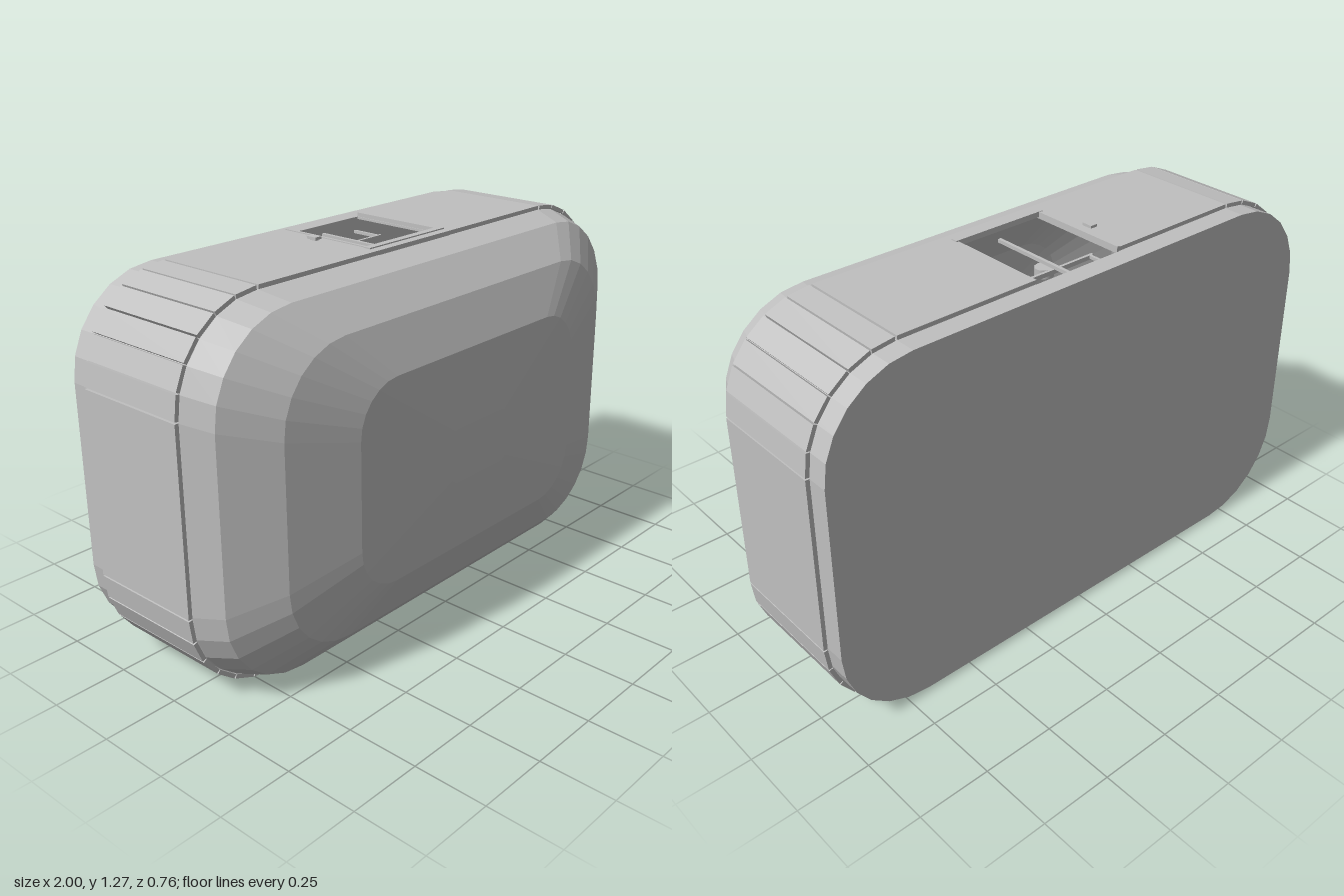
import * as THREE from 'three';

const MID = 0.63; // height of the case's centre
const casing = new THREE.MeshStandardMaterial({ color: 0xc0c0c0, side: THREE.DoubleSide });
casing.name = 'casing grey';

// Rounded rectangle, counter-clockwise, six facets per corner
function outline(hw, hh, r) {
  const pts = [];
  [[1, 1], [-1, 1], [-1, -1], [1, -1]].forEach(([sx, sy], c) => {
    for (let i = 0; i <= 6; i++) {
      const a = (c + i / 6) * Math.PI / 2;
      pts.push(new THREE.Vector2(sx * (hw - r) + r * Math.cos(a), MID + sy * (hh - r) + r * Math.sin(a)));
    }
  });
  return pts;
}

// Faceted skin through rings of equal point count, capped at the last ring
function loft(rings) {
  const pos = [], index = [], n = rings[0].pts.length;
  rings.forEach(({ pts, z }) => pts.forEach(p => pos.push(p.x, p.y, z)));
  for (let k = 0; k < rings.length - 1; k++) {
    for (let i = 0; i < n; i++) {
      const j = (i + 1) % n, a = k * n + i, b = k * n + j;
      index.push(a, b, b + n, a, b + n, a + n);
    }
  }
  const last = (rings.length - 1) * n;
  for (let i = 1; i < n - 1; i++) index.push(last, last + i, last + i + 1);
  const g = new THREE.BufferGeometry();
  g.setAttribute('position', new THREE.Float32BufferAttribute(pos, 3));
  g.setIndex(index);
  const flat = g.toNonIndexed();
  flat.computeVertexNormals();
  return flat;
}

function add(parent, name, geometry, x = 0, y = 0, z = 0) {
  const m = new THREE.Mesh(geometry, casing);
  m.name = name;
  m.position.set(x, y, z);
  parent.add(m);
  return m;
}

function box(parent, name, x0, x1, y0, y1, z0, z1) {
  return add(parent, name, new THREE.BoxGeometry(x1 - x0, y1 - y0, z1 - z0),
    (x0 + x1) / 2, (y0 + y1) / 2, (z0 + z1) / 2);
}

// Slab lying just inside the line from p to q
function slab(parent, name, p, q, z0, z1, thick, gap) {
  const d = q.clone().sub(p), len = d.length();
  d.normalize();
  const m = add(parent, name, new THREE.BoxGeometry(len - gap, thick, z1 - z0),
    (p.x + q.x) / 2 - d.y * thick / 2, (p.y + q.y) / 2 + d.x * thick / 2, (z0 + z1) / 2);
  m.rotation.z = Math.atan2(d.y, d.x);
  return m;
}

export function createModel() {
  const model = new THREE.Group();
  model.name = 'case';
  const BACK = -0.38, REAR = -0.31, FRONT = 0.10, HATCH = 0.06, HALF = 0.17;

  // Domed front cover
  const dome = [
    [0.985, 0.615, 0.31, 0.10], [0.945, 0.59, 0.30, 0.20], [0.785, 0.49, 0.25, 0.30],
    [0.54, 0.34, 0.16, 0.36], [0.14, 0.093, 0.03, 0.38],
  ].map(([w, h, r, z]) => ({ pts: outline(w, h, r), z }));
  add(model, 'frontDome', loft(dome));

  // Inner shell and outer facet panels, leaving the hatch open on top
  const shell = new THREE.Group();
  shell.name = 'shell';
  const panels = new THREE.Group();
  panels.name = 'sidePanels';
  model.add(shell, panels);
  const inner = outline(0.985, 0.615, 0.31), outer = outline(1, 0.63, 0.32);
  const n = inner.length, TOP = 6;
  for (let i = 0; i < n; i++) {
    const j = (i + 1) % n;
    if (i === TOP) continue;
    slab(shell, 'shellWall', inner[i], inner[j], BACK, FRONT, 0.008, 0);
    slab(panels, 'sidePanel', outer[i], outer[j], REAR, FRONT, 0.014, 0.006);
  }
  for (const s of [-1, 1]) {
    const a = Math.min(s * 0.675, s * HALF), b = Math.max(s * 0.675, s * HALF);
    box(shell, 'shellTop', a, b, 1.237, 1.245, REAR, FRONT);
    box(panels, 'topPanel', a, b, 1.246, 1.26, REAR, FRONT);
  }
  box(shell, 'shellTopRear', -0.675, 0.675, 1.237, 1.245, BACK, REAR);
  box(panels, 'hatchFrontPanel', -HALF, HALF, 1.237, 1.26, HATCH, FRONT);

  // Flat back
  const back = new THREE.ShapeGeometry(new THREE.Shape(inner));
  back.rotateY(Math.PI);
  add(model, 'backPlate', back, 0, 0, BACK);

  // Hatch rails, rods and latch
  const hatch = new THREE.Group();
  hatch.name = 'hatch';
  model.add(hatch);
  box(hatch, 'hatchRail', -0.18, 0.18, 1.245, 1.264, 0.045, 0.07);
  box(hatch, 'hatchEdge', -0.175, -0.165, 1.24, 1.263, REAR, HATCH);
  box(hatch, 'centreRod', -0.006, 0.006, 1.205, 1.217, REAR, 0.05);
  box(hatch, 'crossBar', -HALF, HALF, 1.185, 1.2, -0.205, -0.195);
  for (const s of [-1, 1]) {
    box(hatch, 'sideRod', s * 0.157 - 0.005, s * 0.157 + 0.005, 1.19, 1.2, REAR, -0.2);
  }
  const knob = add(hatch, 'latchKnob', new THREE.CylinderGeometry(0.033, 0.033, 0.03, 10), 0, 1.18, -0.16);
  knob.scale.z = 0.9;

  // Small button on top
  box(model, 'buttonStem', -0.217, -0.203, 1.258, 1.268, -0.155, -0.13);
  box(model, 'button', -0.223, -0.197, 1.264, 1.273, -0.163, -0.124);

  // Narrow slots on a lower corner facet
  const [p, q] = [outer[22], outer[23]];
  const c = p.clone().lerp(q, 0.75), e = p.clone().lerp(q, 0.81);
  for (const [z0, z1] of [[-0.005, 0.025], [-0.2, -0.115]]) {
    slab(model, 'cornerSlot', c, e, z0, z1, -0.001, 0);
  }
  return model;
}
